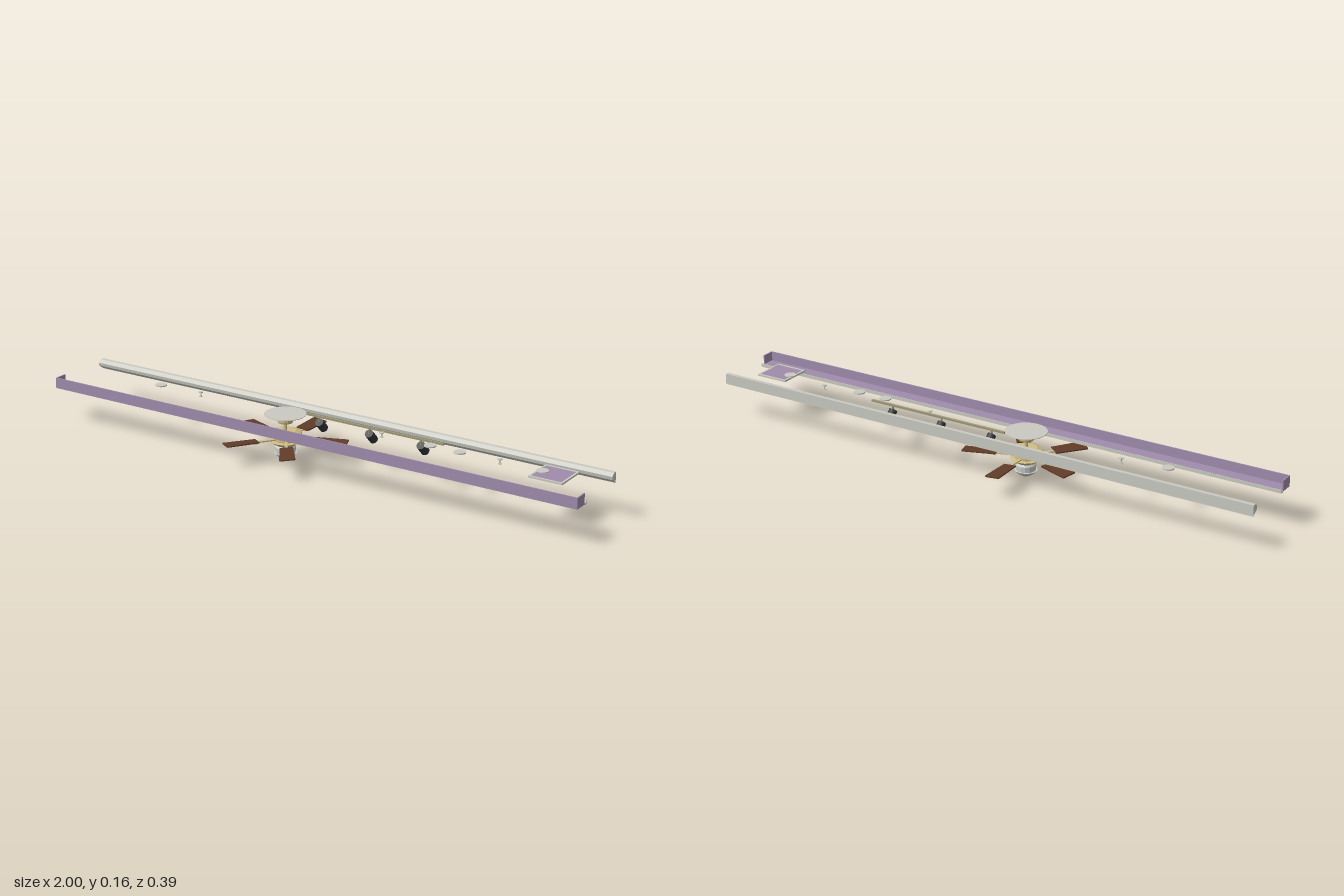
import * as THREE from 'three';

const mat = (name, color) => {
  const m = new THREE.MeshStandardMaterial({ color });
  m.name = name;
  return m;
};

export function createModel() {
  const purple = mat('mauve paint', 0xa08cad);
  const grey = mat('pale trim', 0xcacac2);
  const gold = mat('brass', 0xd0bd86);
  const wood = mat('dark wood', 0x613c28);
  const black = mat('black metal', 0x34363a);
  const glass = mat('frosted glass', 0xcfcfcd);
  const olive = mat('track metal', 0x9c9775);

  const model = new THREE.Group();
  model.name = 'ceilingFixtures';

  const add = (name, geometry, material, x = 0, y = 0, z = 0, parent = model) => {
    const mesh = new THREE.Mesh(geometry, material);
    mesh.name = name;
    mesh.position.set(x, y, z);
    parent.add(mesh);
    return mesh;
  };
  const box = (w, h, d) => new THREE.BoxGeometry(w, h, d);
  const cyl = (rt, rb, h, n = 16) => new THREE.CylinderGeometry(rt, rb, h, n);
  // Faceted lathe from [radius, height] pairs, listed bottom to top
  const lathe = (pts, n = 14) => {
    const g = new THREE.LatheGeometry(pts.map(([r, y]) => new THREE.Vector2(r, y)), n).toNonIndexed();
    g.computeVertexNormals();
    return g;
  };
  // Profile of [z, y] pairs run along the whole width
  const run = (pts, length = 2) => {
    const shape = new THREE.Shape(pts.map(([z, y]) => new THREE.Vector2(z, y)));
    const g = new THREE.ExtrudeGeometry(shape, { depth: length, bevelEnabled: false });
    return g.rotateY(-Math.PI / 2).translate(length / 2, 0, 0);
  };

  // Front soffit: channel with a closed plate at each end and a pale inner lip
  add('soffitChannel', run([[0.098, 0.12], [0.145, 0.12], [0.145, 0.157], [0.141, 0.157], [0.141, 0.125], [0.098, 0.125]]), purple);
  for (const s of [-1, 1]) add('soffitEnd', box(0.004, 0.037, 0.047), purple, s * 0.998, 0.1385, 0.1215);
  add('soffitLip', run([[0.085, 0.118], [0.098, 0.118], [0.098, 0.123], [0.089, 0.123], [0.087, 0.13], [0.085, 0.13]]), grey);

  // Rear crown moulding
  add('crownMoulding', run([
    [-0.113, 0.12], [-0.1, 0.128], [-0.09, 0.136], [-0.088, 0.147], [-0.099, 0.157], [-0.113, 0.157],
  ]), grey);

  // Ceiling fan
  const fan = new THREE.Group();
  fan.name = 'ceilingFan';
  fan.position.set(-0.135, 0, 0.01);
  model.add(fan);
  add('ceilingMedallion', lathe([[0, 0.146], [0.03, 0.146], [0.055, 0.151], [0.07, 0.155], [0.07, 0.157], [0, 0.157]], 24), grey, 0, 0, 0, fan);
  add('canopy', lathe([[0, 0.127], [0.025, 0.127], [0.027, 0.132], [0.027, 0.147], [0, 0.147]]), gold, 0, 0, 0, fan);
  add('downRod', cyl(0.006, 0.006, 0.036, 10), gold, 0, 0.112, 0, fan);
  add('motorHousing', lathe([
    [0, 0.049], [0.031, 0.049], [0.052, 0.064], [0.038, 0.066], [0.038, 0.084], [0.055, 0.088],
    [0.054, 0.093], [0.036, 0.1], [0, 0.1],
  ]), gold, 0, 0, 0, fan);
  add('lampCollar', lathe([[0, 0.022], [0.033, 0.022], [0.035, 0.042], [0.03, 0.05], [0, 0.05]]), glass, 0, 0, 0, fan);
  add('lampBowl', lathe([[0, 0], [0.014, 0.002], [0.027, 0.01], [0.038, 0.022], [0, 0.024]]), glass, 0, 0, 0, fan);

  // Five blades, one pointing straight back
  const bladeShape = new THREE.Shape([
    [0.098, -0.022], [0.207, -0.026], [0.21, -0.023], [0.21, 0.023], [0.207, 0.026], [0.098, 0.022],
  ].map(([x, y]) => new THREE.Vector2(x, y)));
  const bladeGeometry = new THREE.ExtrudeGeometry(bladeShape, { depth: 0.004, bevelEnabled: false });
  bladeGeometry.rotateX(-Math.PI / 2);
  for (let i = 0; i < 5; i++) {
    const arm = new THREE.Group();
    arm.name = 'bladeArm';
    arm.rotation.y = Math.PI / 2 + (i * Math.PI * 2) / 5;
    fan.add(arm);
    add('blade', bladeGeometry, wood, 0, 0.071, 0, arm).rotation.x = 0.09;
    add('bladeBracket', box(0.075, 0.004, 0.01), gold, 0.0725, 0.07, 0, arm);
    add('bladePlate', box(0.018, 0.004, 0.024), gold, 0.106, 0.069, 0, arm);
  }

  // Track with three spot lamps aimed down and back
  add('track', box(0.52, 0.006, 0.009), olive, 0.18, 0.154, -0.034);
  for (const x of [-0.03, 0.163, 0.357]) {
    const spot = new THREE.Group();
    spot.name = 'spotLamp';
    spot.position.set(x, 0, 0);
    model.add(spot);
    add('spotStem', cyl(0.003, 0.003, 0.03, 8), olive, 0, 0.14, -0.033, spot);
    const head = add('spotHead', cyl(0.0145, 0.0145, 0.042), black, 0, 0.12, -0.046, spot);
    head.rotation.x = Math.PI / 4;
  }

  // Recessed lights
  for (const x of [-0.655, 0.41, 0.517, 0.808]) {
    add('recessedLight', cyl(0.02, 0.02, 0.004, 20), grey, x, 0.155, 0);
  }

  // Sprinklers: cover, stem and deflector
  for (const x of [-0.497, 0.222, 0.652]) {
    add('sprinklerCover', cyl(0.008, 0.008, 0.003, 12), grey, x, 0.1555, -0.014);
    add('sprinklerStem', cyl(0.002, 0.002, 0.014, 8), grey, x, 0.148, -0.014);
    add('sprinklerDeflector', cyl(0.006, 0.006, 0.002, 12), grey, x, 0.141, -0.014);
  }

  // Square ceiling vent with a pale frame
  const vent = new THREE.Group();
  vent.name = 'ceilingVent';
  vent.position.set(0.849, 0.153, 0.005);
  model.add(vent);
  add('ventPanel', box(0.102, 0.003, 0.102), purple, 0, 0, 0, vent);
  for (const s of [-1, 1]) {
    add('ventFrameSide', box(0.007, 0.006, 0.116), grey, s * 0.0545, 0, 0, vent);
    add('ventFrameEnd', box(0.102, 0.006, 0.007), grey, 0, 0, s * 0.0545, vent);
  }
  return model;
}
